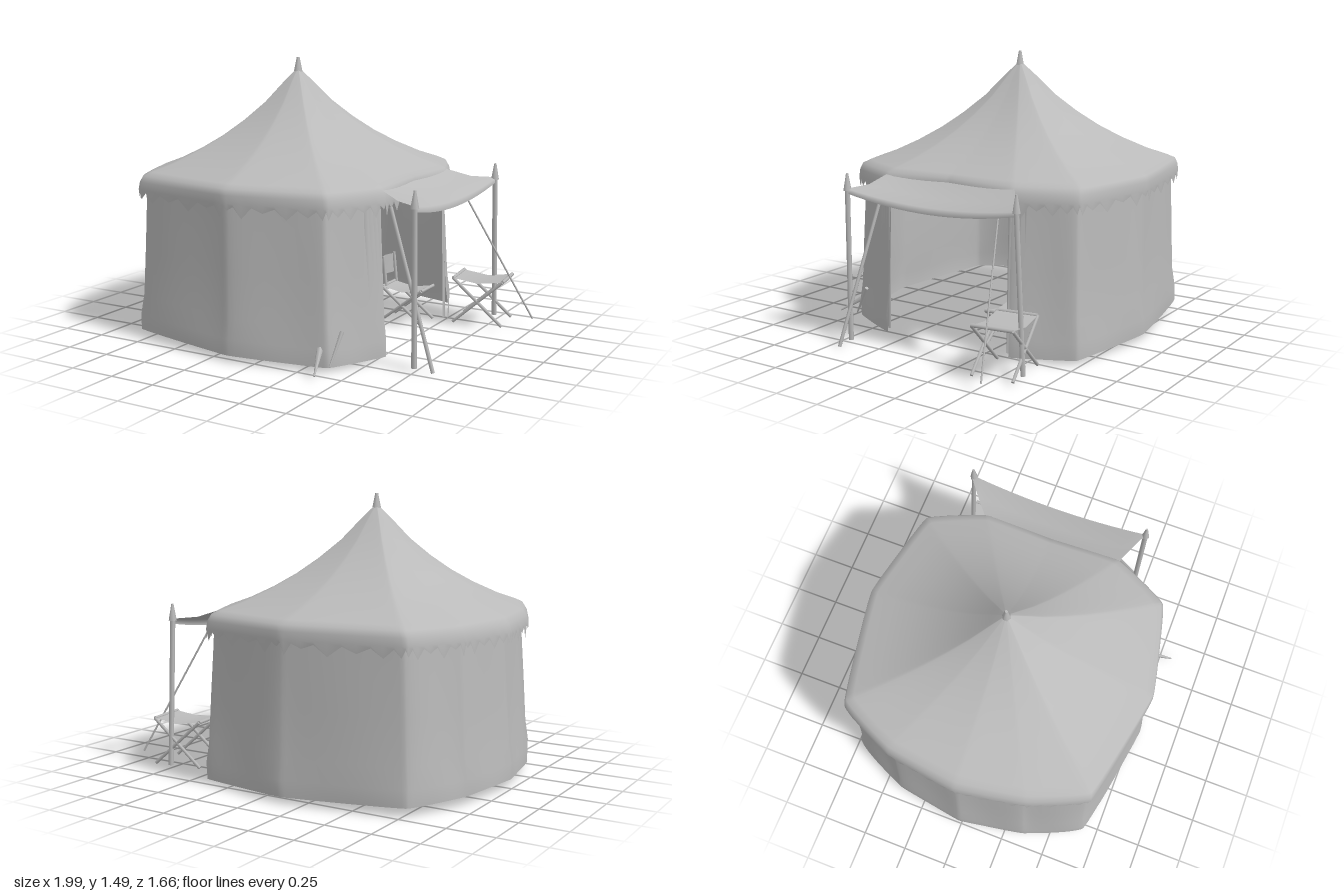
import * as THREE from 'three';

const canvas = new THREE.MeshStandardMaterial({ color: 0xbababa, side: THREE.DoubleSide });
canvas.name = 'grey canvas';

const V = (x, y, z) => new THREE.Vector3(x, y, z);
const CX = -0.2, CZ = -0.01;

// Plans of the eave and the wider hem, from the front door edge round to the rear one;
// the last point lies in the doorway. Nearly straight panels between corners.
const outline = pts => new THREE.CatmullRomCurve3(pts.map(([x, z]) => V(x, 0, z)), true, 'catmullrom', 0.12)
  .getPoints(144).slice(0, 144);
const eave = outline([[0.51, 0.36], [0.355, 0.66], [-0.15, 0.785], [-0.75, 0.66], [-0.89, 0.35], [-0.95, -0.01],
  [-0.9, -0.4], [-0.745, -0.705], [-0.14, -0.825], [0.365, -0.715], [0.505, -0.41], [0.5, -0.02]]);
const hem = outline([[0.545, 0.36], [0.38, 0.68], [-0.15, 0.79], [-0.785, 0.675], [-0.935, 0.365], [-1, -0.01],
  [-0.935, -0.41], [-0.775, -0.72], [-0.14, -0.835], [0.4, -0.73], [0.54, -0.41], [0.5, -0.02]]);

// Point i on the tent: scaled about the mast, blended from eave to hem, at height y
const at = (i, s, y, blend = 0) => {
  const p = eave[i].clone().lerp(hem[i], blend);
  return V(CX + (p.x - CX) * s, y, CZ + (p.z - CZ) * s);
};

// Skin a surface over rows of points
function loft(rows, closed) {
  const n = rows[0].length, pos = [], idx = [];
  rows.forEach(r => r.forEach(p => pos.push(p.x, p.y, p.z)));
  for (let j = 0; j < rows.length - 1; j++) {
    for (let i = 0; i < (closed ? n : n - 1); i++) {
      const a = j * n + i, b = j * n + (i + 1) % n;
      idx.push(a, b, a + n, b, b + n, a + n);
    }
  }
  const g = new THREE.BufferGeometry();
  g.setAttribute('position', new THREE.Float32BufferAttribute(pos, 3));
  g.setIndex(idx);
  g.computeVertexNormals();
  return g;
}

export function createModel() {
  const model = new THREE.Group();
  model.name = 'tent';
  const add = (geo, name, parent = model) => {
    const m = new THREE.Mesh(geo, canvas);
    m.name = name;
    parent.add(m);
    return m;
  };
  // Round bar between two points
  const bar = (a, b, r, name, parent = model, rTop = r) => {
    const d = b.clone().sub(a);
    const m = add(new THREE.CylinderGeometry(rTop, r, d.length(), 6), name, parent);
    m.position.copy(a).addScaledVector(d, 0.5);
    m.quaternion.setFromUnitVectors(V(0, 1, 0), d.normalize());
    return m;
  };

  // Concave roof sweeping up to the mast, rolling over into a valance with pointed teeth
  const profile = [[0.02, 1.43], [0.1, 1.365], [0.22, 1.26], [0.36, 1.165], [0.5, 1.085],
    [0.65, 1.015], [0.82, 0.95], [0.95, 0.912], [1, 0.893], [1.005, 0.86, 0.4], [1.005, 0.82, 0.6]];
  add(loft([
    ...profile.map(([s, y, b]) => eave.map((_, i) => at(i, s, y, b))),
    eave.map((_, i) => at(i, 1, i % 2 ? 0.765 + 0.02 * Math.sin(i * 1.7) : 0.805, 0.65)),
  ], true), 'roofAndValance');
  bar(V(CX, 1.38, CZ), V(CX, 1.5, CZ), 0.032, 'mastTip', model, 0.008);

  // Walls with soft folds; the hem line drops slightly towards the door side
  const wall = [[0.975, 0.88], [0.975, 0.7], [0.98, 0.45], [0.985, 0.2], [1, 0.09], [0.995, 0]];
  add(loft(wall.map(([s, y], j) => hem.slice(0, 121).map((p, i) => {
    const ground = 0.058 - 0.022 * (p.x + 1);
    return at(i, s + 0.006 * Math.sin(i * 0.65) * Math.sin(j * 0.6), y + ground * (1 - y), 1 - y);
  })), false), 'walls');

  // Gathered curtains at both edges of the doorway
  for (const [x, z, side] of [[0.495, 0.355, 1], [0.495, -0.385, -1]]) {
    const rows = [0.85, 0.5, 0.04].map((y, j) => Array.from({ length: 9 }, (_, i) =>
      V(x + 0.012 * j + 0.012 * (i % 2) - i * 0.005, y, z + side * i * 0.012)));
    add(loft(rows, false), 'doorCurtain');
  }

  // Pegs beside the front corner of the doorway
  bar(V(0.34, 0.12, 0.68), V(0.39, 0.03, 0.82), 0.018, 'peg', model, 0.004);
  bar(V(0.42, 0.2, 0.6), V(0.4, 0.04, 0.69), 0.012, 'peg', model, 0.004);

  // Sagging awning with a hanging hem
  const awning = new THREE.Group();
  awning.name = 'awning';
  model.add(awning);
  const N = 16;
  const row = (x, y, z0, z1, sag, dx) => Array.from({ length: N + 1 }, (_, i) => {
    const t = i / N, b = 4 * t * (1 - t);
    return V(x - dx * b, y - sag * b, z0 + (z1 - z0) * t);
  });
  add(loft([
    row(0.49, 0.89, 0.36, -0.41, 0.01, 0),
    row(0.62, 0.84, 0.4, -0.51, 0.035, 0.01),
    row(0.74, 0.83, 0.45, -0.6, 0.045, 0.01),
    row(0.74, 0.805, 0.45, -0.59, 0.055, 0.01),
  ], false), 'awningCloth', awning);

  // Awning poles with pointed tops, and slanting stays
  for (const [a, b] of [[V(0.74, 0.02, 0.445), V(0.735, 0.82, 0.45)], [V(0.735, 0.03, -0.62), V(0.735, 0.82, -0.58)]]) {
    bar(a, b, 0.014, 'awningPole', awning);
    bar(b, V(b.x, 0.91, b.z), 0.022, 'poleTip', awning, 0.006);
  }
  bar(V(0.84, 0.01, 0.44), V(0.56, 0.8, 0.36), 0.01, 'frontStay', awning);
  bar(V(0.99, 0.06, -0.55), V(0.61, 0.79, -0.4), 0.005, 'rearStay', awning);

  // Folding stools: cloth seat on two crossed pairs of legs
  const stool = (x, z, w, d, h, name) => {
    const g = new THREE.Group();
    g.name = name;
    g.position.set(x, 0, z);
    model.add(g);
    const rows = [-1, 0, 1].map(k => [-1, 0, 1].map(q =>
      V(k * w / 2, h - (k === 0 ? 0.02 : 0), q * d / 2)));
    add(loft(rows, false), 'seat', g);
    for (const s of [-1, 1]) {
      bar(V(-w / 2, 0.03, s * d / 2), V(w / 2, h, s * d / 2), 0.009, 'leg', g);
      bar(V(w / 2, 0.03, s * d / 2), V(-w / 2, h, s * d / 2), 0.009, 'leg', g);
      bar(V(s * w / 2, h, -d / 2), V(s * w / 2, h, d / 2), 0.01, 'seatRail', g);
    }
    return g;
  };
  stool(0.71, -0.5, 0.28, 0.22, 0.28, 'outerStool').rotation.y = 0.12;

  // Second seat, inside the doorway, with a backrest
  const chair = stool(0.34, -0.3, 0.24, 0.16, 0.22, 'innerChair');
  add(loft([0.27, 0.38].map(y => [V(-0.13, y, -0.08), V(-0.15, y, 0), V(-0.13, y, 0.05)]), false), 'backrest', chair);
  for (const z of [-0.08, 0.05]) bar(V(-0.11, 0.2, z), V(-0.13, 0.385, z), 0.009, 'backPost', chair);

  return model;
}
